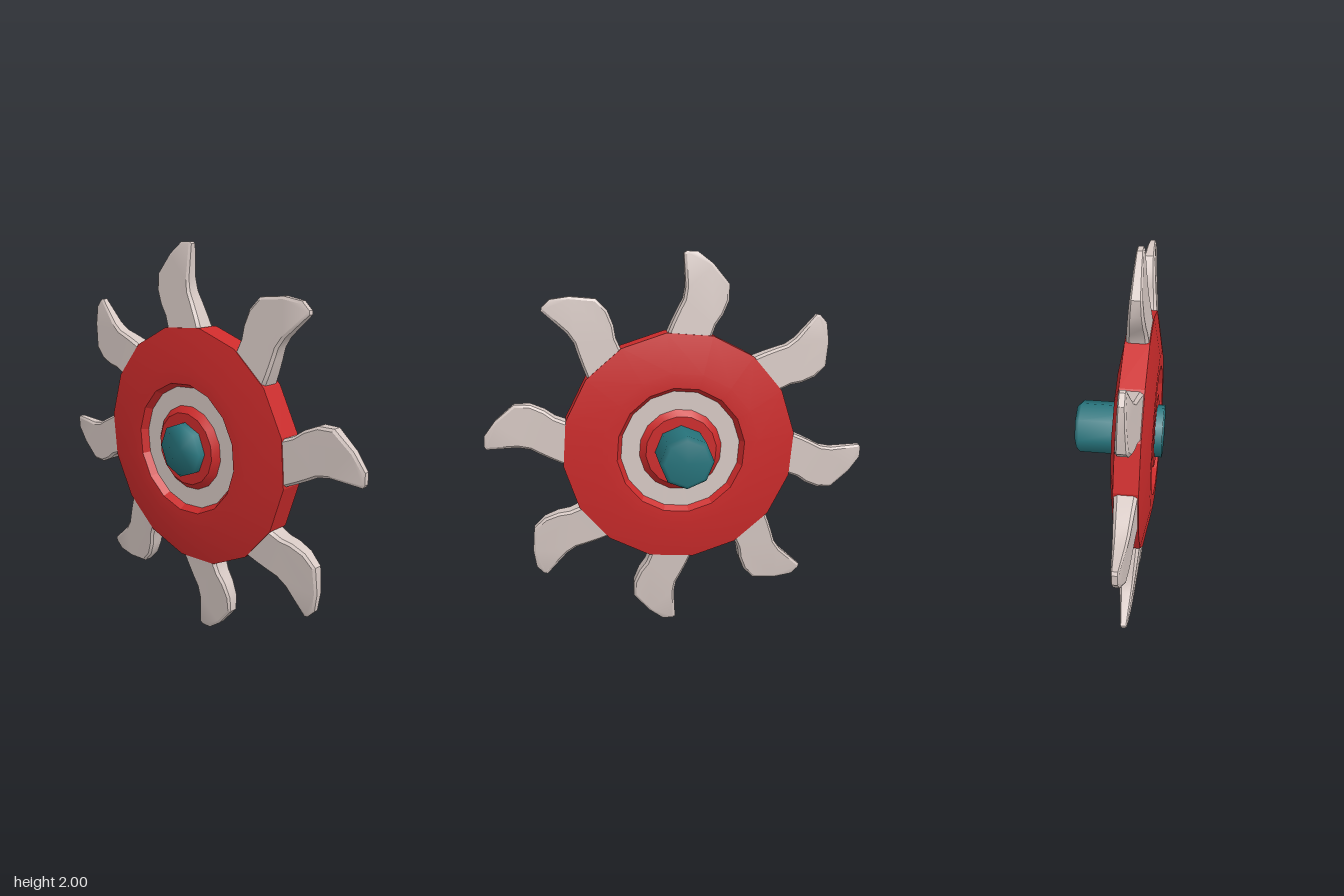
import * as THREE from 'three';
import { toCreasedNormals, mergeVertices } from 'three/addons/utils/BufferGeometryUtils.js';

const red = new THREE.MeshStandardMaterial({ color: 0xcc2b2b });
const pale = new THREE.MeshStandardMaterial({ color: 0xd6c8c3 });
const teal = new THREE.MeshStandardMaterial({ color: 0x27747c });

// 16-sided turned part around the z axis, from [radius, z] pairs going back to front
function turned(name, profile, material) {
  const points = profile.map(([r, z]) => new THREE.Vector2(r, z));
  const lathe = new THREE.LatheGeometry(points, 16, THREE.MathUtils.degToRad(16));
  lathe.rotateX(Math.PI / 2);
  const mesh = new THREE.Mesh(toCreasedNormals(lathe, 0.3), material);
  mesh.name = name;
  return mesh;
}

// Hooked tooth pointing along +x, bevelled and thinning towards its tip
function toothGeometry() {
  const outline = [
    [0.55, -0.06], [0.6, -0.062], [0.66, -0.035], [0.72, -0.005], [0.77, 0.022], [0.83, 0.033],
    [0.99, 0.025], [1.0, 0.04], [0.998, 0.095], [0.94, 0.172], [0.84, 0.255],
    [0.76, 0.253], [0.69, 0.222], [0.64, 0.185], [0.585, 0.163], [0.54, 0.155],
  ].map(([x, y]) => new THREE.Vector2(x, y));
  const geometry = new THREE.ExtrudeGeometry(new THREE.Shape(outline), {
    depth: 1.4, bevelEnabled: true, bevelThickness: 0.3,
    bevelSize: 0.012, bevelOffset: -0.012, bevelSegments: 1,
  });
  geometry.translate(0, 0, -0.7);
  const pos = geometry.attributes.position;
  for (let i = 0; i < pos.count; i++) {
    const r = Math.hypot(pos.getX(i), pos.getY(i));
    const half = THREE.MathUtils.mapLinear(r, 0.58, 1, 0.056, 0.017);
    pos.setZ(i, pos.getZ(i) * half);
  }
  return toCreasedNormals(geometry, 0.4);
}

export function createModel() {
  const model = new THREE.Group();
  model.name = 'toothedWheel';

  const wheel = new THREE.Group();
  wheel.name = 'wheel';
  wheel.position.set(0, 1, 0.095);
  model.add(wheel);

  // Wheel body, inset ring and raised hub
  wheel.add(turned('disc', [
    [0.31, -0.055], [0.335, -0.095], [0.41, -0.095], [0.61, -0.058],
    [0.61, 0.058], [0.41, 0.095], [0.335, 0.095], [0.31, 0.055],
  ], red));
  wheel.add(turned('insetRing', [[0.15, -0.06], [0.325, -0.06], [0.325, 0.06], [0.15, 0.06]], pale));
  wheel.add(turned('hub', [
    [0, -0.09], [0.185, -0.09], [0.222, -0.055], [0.222, 0.055], [0.185, 0.09], [0, 0.09],
  ], red));

  // Eight teeth
  const tooth = toothGeometry();
  for (let i = 0; i < 8; i++) {
    const mesh = new THREE.Mesh(tooth, pale);
    mesh.name = `tooth${i + 1}`;
    mesh.rotation.z = (i * Math.PI) / 4;
    wheel.add(mesh);
  }

  // Octagonal axle with softened back edge
  const axlePoints = [[0, -0.222], [0.115, -0.222], [0.137, -0.2], [0.137, 0.222], [0, 0.222]];
  let axleShape = new THREE.LatheGeometry(axlePoints.map(([r, z]) => new THREE.Vector2(r, z)), 8);
  axleShape.deleteAttribute('normal');
  axleShape.deleteAttribute('uv');
  axleShape = mergeVertices(axleShape);
  axleShape.rotateX(Math.PI / 2);
  axleShape.computeVertexNormals();
  const axle = new THREE.Mesh(axleShape, teal);
  axle.name = 'axle';
  axle.position.y = 1;
  model.add(axle);

  return model;
}
